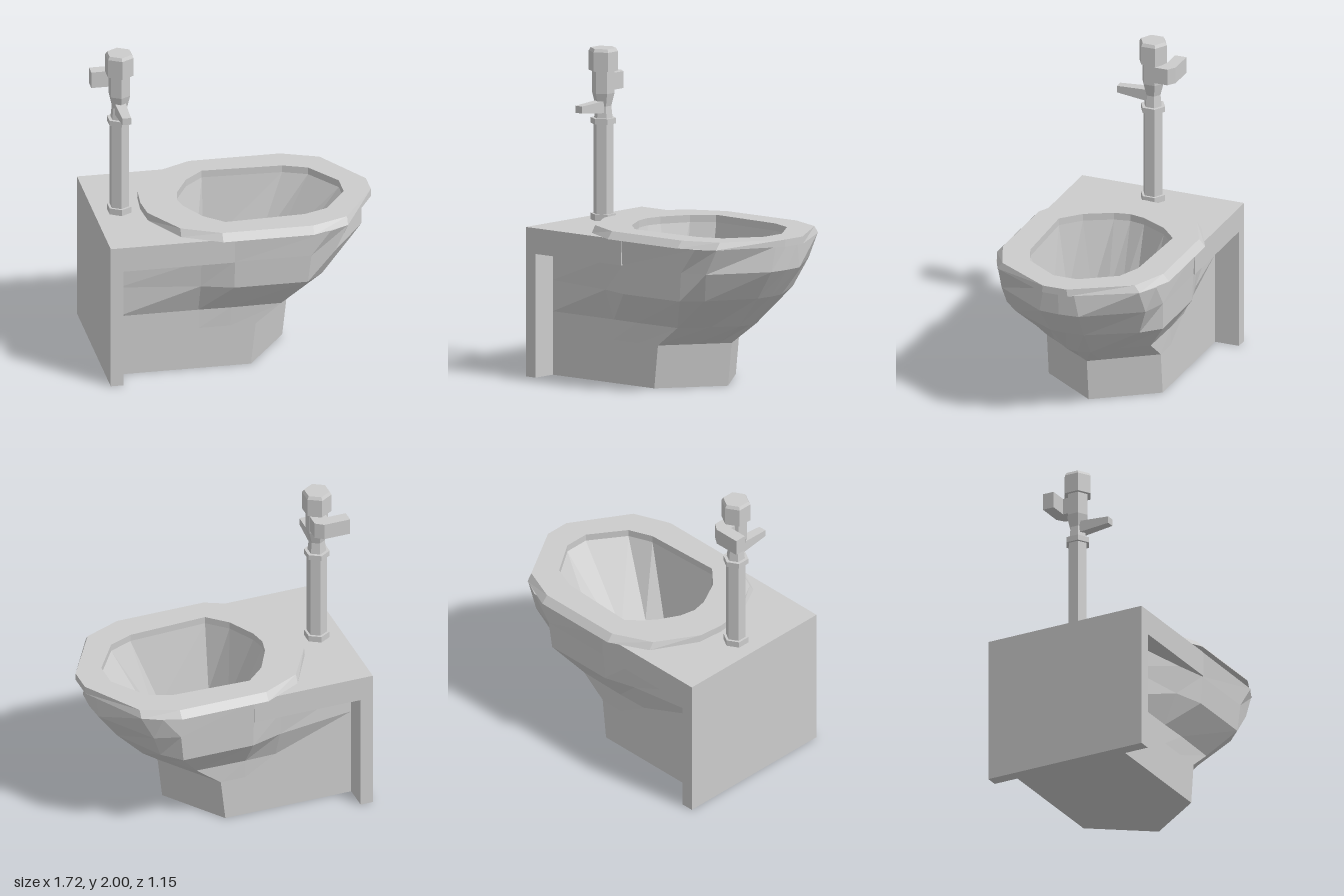
import * as THREE from 'three';

const material = new THREE.MeshStandardMaterial({ color: 0xcccccc, flatShading: true });

function add(group, name, geometry, x = 0, y = 0, z = 0) {
  const mesh = new THREE.Mesh(geometry, material);
  mesh.name = name;
  mesh.position.set(x, y, z);
  group.add(mesh);
  return mesh;
}

// Mirror a half outline [x, z] (back to front) into a closed loop
function mirrored(half) {
  const other = half.filter(p => p[1] > 0).map(([x, z]) => [x, -z]).reverse();
  return [...half, ...other];
}

// Skin a stack of rings { y, half }, optionally closing either end
function loft(rings, capStart, capEnd) {
  const loops = rings.map(r => mirrored(r.half).map(([x, z]) => [x, r.y, z]));
  const n = loops[0].length;
  const positions = loops.flat(2);
  const index = [];
  for (let r = 0; r < loops.length - 1; r++) {
    for (let i = 0; i < n; i++) {
      const j = (i + 1) % n, a = r * n, b = a + n;
      index.push(a + i, a + j, b + j, a + i, b + j, b + i);
    }
  }
  const last = (loops.length - 1) * n;
  for (let i = 1; i < n - 1; i++) {
    if (capStart) index.push(0, i + 1, i);
    if (capEnd) index.push(last, last + i, last + i + 1);
  }
  const geometry = new THREE.BufferGeometry();
  geometry.setAttribute('position', new THREE.Float32BufferAttribute(positions, 3));
  geometry.setIndex(index);
  geometry.computeVertexNormals();
  return geometry;
}

// Horizontal plate from an [x, z] outline, rising from y = 0
function plate(points, height) {
  const shape = new THREE.Shape(points.map(([x, z]) => new THREE.Vector2(x, -z)));
  return new THREE.ExtrudeGeometry(shape, { depth: height, bevelEnabled: false }).rotateX(-Math.PI / 2);
}

export function createModel() {
  const model = new THREE.Group();
  model.name = 'toilet';

  // Rear mounting panel and the shelf that runs into the bowl
  add(model, 'backPanel', new THREE.BoxGeometry(0.08, 0.77, 1.08), -0.82, 0.385, 0);
  const shelf = [
    [-0.86, 0.54], [-0.08, 0.54], [-0.08, 0.42], [-0.14, 0.41], [-0.25, 0.3], [-0.36, 0.12],
  ];
  add(model, 'shelf', plate(mirrored(shelf), 0.16), 0, 0.77, 0);

  // Pedestal flaring into the bowl
  const bowlTop = [
    [-0.78, 0.38], [-0.28, 0.48], [-0.08, 0.54], [0.52, 0.535], [0.64, 0.47], [0.8, 0.1], [0.805, 0],
  ];
  const body = [
    { y: 0, half: [[-0.78, 0.38], [-0.28, 0.38], [-0.08, 0.38], [0.05, 0.38], [0.185, 0.19], [0.27, 0.07], [0.32, 0]] },
    { y: 0.27, half: [[-0.78, 0.38], [-0.28, 0.38], [-0.08, 0.38], [0.08, 0.38], [0.215, 0.19], [0.3, 0.07], [0.35, 0]] },
    { y: 0.395, half: [[-0.78, 0.38], [-0.28, 0.38], [-0.08, 0.385], [0.24, 0.38], [0.37, 0.21], [0.48, 0.08], [0.5, 0]] },
    { y: 0.59, half: [[-0.78, 0.38], [-0.28, 0.46], [-0.08, 0.52], [0.38, 0.52], [0.49, 0.41], [0.66, 0.11], [0.67, 0]] },
    { y: 0.77, half: [[-0.78, 0.38], [-0.28, 0.48], [-0.08, 0.53], [0.4, 0.53], [0.56, 0.48], [0.79, 0.13], [0.8, 0]] },
    { y: 0.928, half: bowlTop },
    { y: 0.928, half: bowlTop.map(([x, z]) => [x > 0 ? x * 0.92 : x, z * 0.85]) },
  ];
  add(model, 'bowl', loft(body, true, false));

  // Bevelled seat continuing down into the basin
  const rim = [[-0.57, 0], [-0.555, 0.17], [-0.4, 0.45], [-0.16, 0.575], [0.41, 0.575], [0.64, 0.475], [0.86, 0.085]];
  const opening = [[-0.34, 0], [-0.32, 0.1], [-0.23, 0.27], [-0.11, 0.38], [0.39, 0.36], [0.54, 0.3], [0.69, 0.08]];
  const floor = [[-0.2, 0], [-0.2, 0.09], [-0.19, 0.19], [-0.11, 0.32], [0.22, 0.29], [0.29, 0.2], [0.33, 0.03]];
  add(model, 'seatAndBasin', loft([
    { y: 0.93, half: opening },
    { y: 0.93, half: rim },
    { y: 0.975, half: rim.map(([x, z]) => [x, z * 0.93]) },
    { y: 0.975, half: opening },
    { y: 0.93, half: opening },
    { y: 0.47, half: floor },
  ], false, true));

  // Hexagonal flush valve standing on the shelf
  const valve = new THREE.Group();
  valve.name = 'flushValve';
  valve.position.x = -0.7;
  model.add(valve);
  const profile = [
    [0, 0.93], [0.08, 0.93], [0.08, 0.97], [0.063, 0.97], [0.063, 1.53], [0.08, 1.53], [0.08, 1.565],
    [0.058, 1.565], [0.05, 1.64], [0.07, 1.72], [0.07, 1.86], [0.092, 1.86], [0.092, 1.98], [0.08, 2], [0, 2],
  ].map(([r, y]) => new THREE.Vector2(r, y));
  add(valve, 'valveBody', new THREE.LatheGeometry(profile, 6));

  // Tapered flush handle
  const handle = new THREE.BoxGeometry(0.07, 0.08, 0.23);
  const p = handle.attributes.position;
  for (let i = 0; i < p.count; i++) {
    if (p.getZ(i) > 0) p.setXY(i, p.getX(i) * 0.75, p.getY(i) * 0.55 + 0.005);
  }
  add(valve, 'flushHandle', handle, 0, 1.635, 0.115);

  // Supply elbow reaching back to the wall
  const elbow = [
    [-0.16, -0.155], [0.01, -0.155], [0.06, -0.12], [0.06, 0], [-0.04, 0], [-0.04, -0.08], [-0.16, -0.08],
  ];
  add(valve, 'supplyElbow', plate(elbow.reverse(), 0.105), 0, 1.74, 0);

  return model;
}
